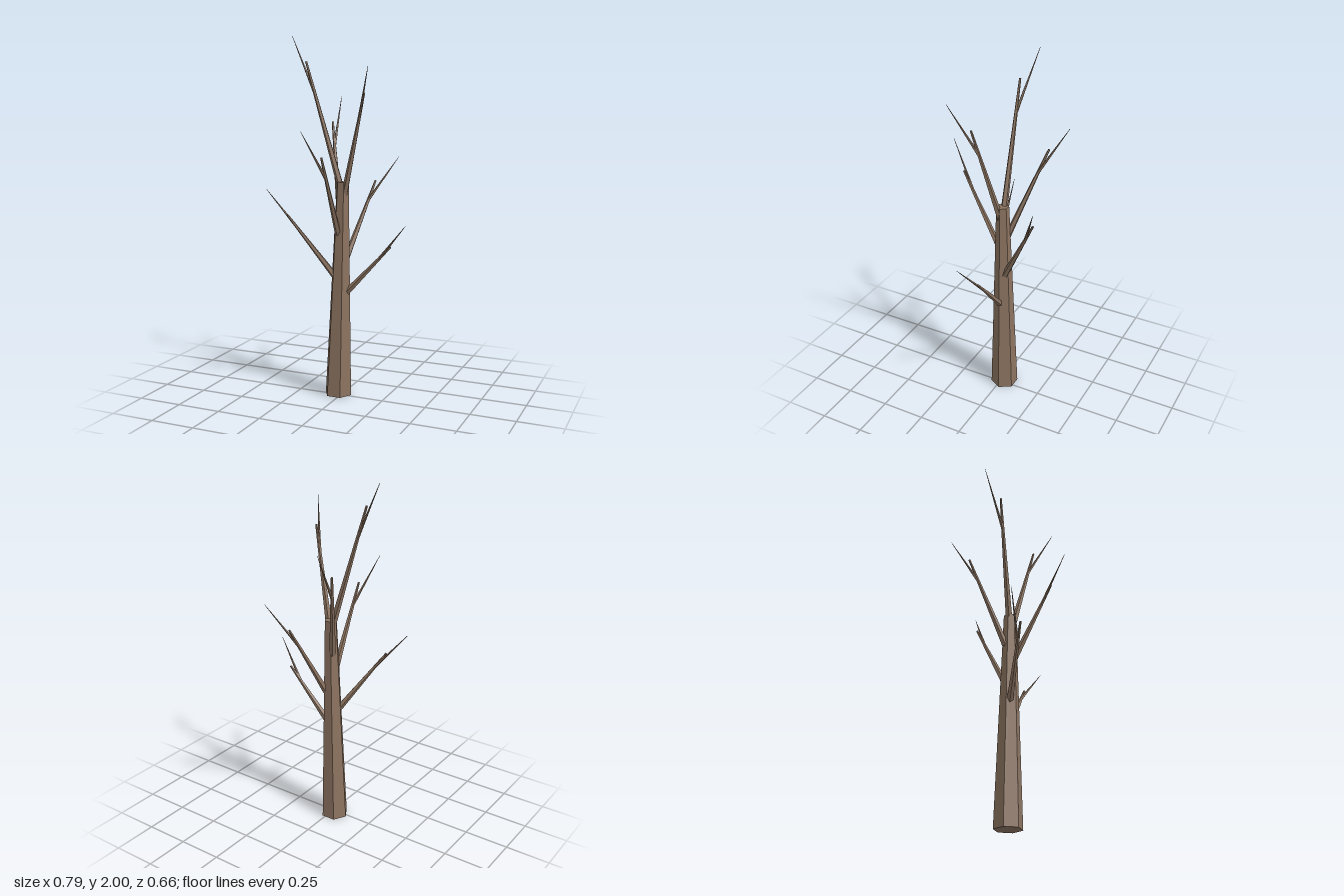
import * as THREE from 'three';

const V = (a) => new THREE.Vector3(...a);

export function createModel() {
  const model = new THREE.Group();
  model.name = 'bareTree';
  const bark = new THREE.MeshStandardMaterial({ color: 0x8c7461, flatShading: true });
  bark.name = 'bark brown';

  // Tapered limb between two points
  function limb(name, from, to, r0, r1, sides) {
    const dir = to.clone().sub(from);
    const length = dir.length();
    const geo = new THREE.CylinderGeometry(r1, r0, length, sides);
    geo.translate(0, length / 2, 0);
    const mesh = new THREE.Mesh(geo, bark);
    mesh.name = name;
    mesh.position.copy(from);
    mesh.quaternion.setFromUnitVectors(new THREE.Vector3(0, 1, 0), dir.normalize());
    return mesh;
  }

  // Six-sided trunk, leaning slightly while its ends stay level
  const height = 1.21;
  const trunkGeo = new THREE.CylinderGeometry(0.035, 0.078, height, 6);
  trunkGeo.rotateY(Math.PI / 6);
  trunkGeo.translate(0, height / 2, 0);
  const p = trunkGeo.attributes.position;
  for (let i = 0; i < p.count; i++) {
    p.setX(i, p.getX(i) - 0.022 + 0.027 * p.getY(i) / height);
    p.setZ(i, p.getZ(i) - 0.017);
  }
  const trunk = new THREE.Mesh(trunkGeo, bark);
  trunk.name = 'trunk';
  model.add(trunk);

  // Each branch: base, blunt end, and the tip of its side twig
  const branches = [
    [[0.025, 0.59, -0.015], [0.285, 0.868, -0.018], [0.393, 1.0, 0.047]],
    [[-0.035, 0.68, -0.005], [-0.263, 1.03, 0.125], [-0.397, 1.167, 0.117]],
    [[0.02, 0.79, -0.04], [0.108, 1.2, -0.248], [0.227, 1.335, -0.302]],
    [[-0.012, 0.91, 0.0], [-0.011, 1.36, 0.228], [-0.082, 1.5, 0.327]],
    [[-0.02, 1.02, -0.035], [-0.142, 1.528, -0.213], [-0.137, 1.667, -0.327]],
    [[0.015, 1.13, -0.01], [0.167, 1.692, 0.078], [0.229, 1.835, 0.179]],
    [[-0.01, 1.19, -0.018], [-0.208, 1.86, -0.006], [-0.32, 2.0, -0.064]],
  ];
  branches.forEach(([base, end, tip], i) => {
    const a = V(base), b = V(end);
    const group = new THREE.Group();
    group.name = `branch${i + 1}`;
    group.add(limb('limb', a, b, 0.019, 0.006, 5));
    group.add(limb('twig', a.clone().lerp(b, 0.74), V(tip), 0.009, 0.001, 5));
    model.add(group);
  });
  return model;
}
